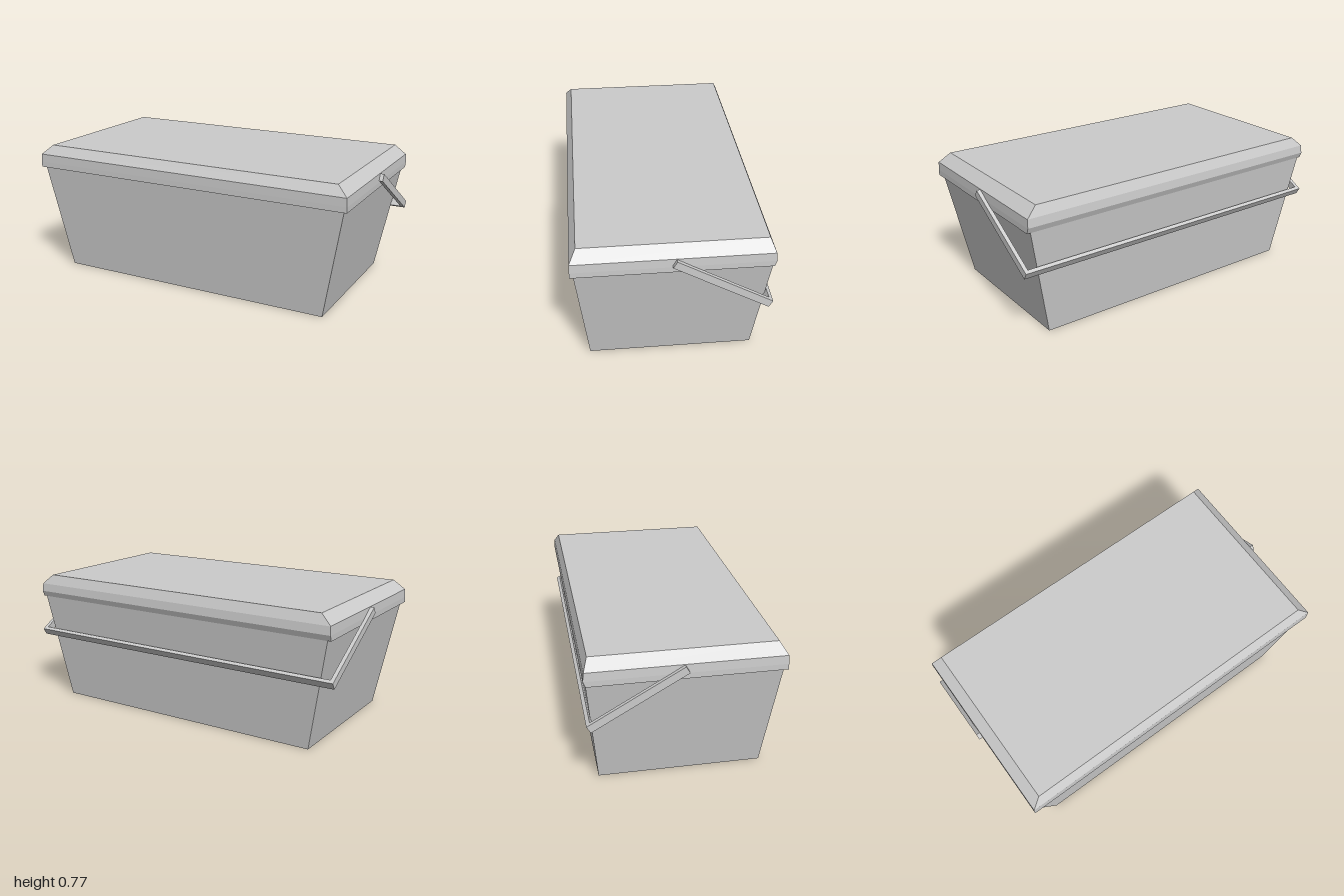
import * as THREE from 'three';

const material = new THREE.MeshStandardMaterial({ color: 0xcccccc, flatShading: true });

// Closed solid from rectangular rings stacked upwards: [y, halfWidth, frontZ, backZ]
function stackedBox(name, rings) {
  const positions = [];
  const index = [];
  for (const [y, x, front, back] of rings) {
    positions.push(-x, y, front, x, y, front, x, y, back, -x, y, back);
  }
  for (let r = 0; r < rings.length - 1; r++) {
    for (let i = 0; i < 4; i++) {
      const a = r * 4 + i;
      const b = r * 4 + (i + 1) % 4;
      index.push(a, b, b + 4, a, b + 4, a + 4);
    }
  }
  const t = (rings.length - 1) * 4;
  index.push(0, 2, 1, 0, 3, 2, t, t + 1, t + 2, t, t + 2, t + 3);
  const indexed = new THREE.BufferGeometry();
  indexed.setAttribute('position', new THREE.Float32BufferAttribute(positions, 3));
  indexed.setIndex(index);
  const geometry = indexed.toNonIndexed();
  geometry.computeVertexNormals();
  const mesh = new THREE.Mesh(geometry, material);
  mesh.name = name;
  return mesh;
}

function box(name, w, h, d, x, y, z) {
  const mesh = new THREE.Mesh(new THREE.BoxGeometry(w, h, d), material);
  mesh.name = name;
  mesh.position.set(x, y, z);
  return mesh;
}

export function createModel() {
  const model = new THREE.Group();
  model.name = 'coolBox';

  // Tapered tub
  model.add(stackedBox('body', [
    [0, 0.84, 0.446, -0.45],
    [0.636, 0.96, 0.51, -0.512],
  ]));

  // Lid with skirt, bevelled top and slight hinge bulge along the back
  model.add(stackedBox('lid', [
    [0.635, 0.98, 0.527, -0.513],
    [0.667, 0.98, 0.527, -0.525],
    [0.714, 0.977, 0.526, -0.52],
    [0.77, 0.915, 0.49, -0.496],
  ]));

  // Swing handle, folded down behind the box
  const length = 0.585, width = 0.043, thickness = 0.022;
  const handle = new THREE.Group();
  handle.name = 'handle';
  handle.position.set(0, 0.694, -0.002);
  handle.rotation.x = -Math.atan2(0.294, 0.506);
  for (const side of [1, -1]) {
    handle.add(box(side > 0 ? 'leftHandleArm' : 'rightHandleArm',
      thickness, width, length, side * (1 - thickness / 2), 0, -length / 2));
  }
  handle.add(box('handleBar', 2 - thickness * 2, width, thickness, 0, 0, -length + thickness / 2));
  model.add(handle);

  return model;
}
